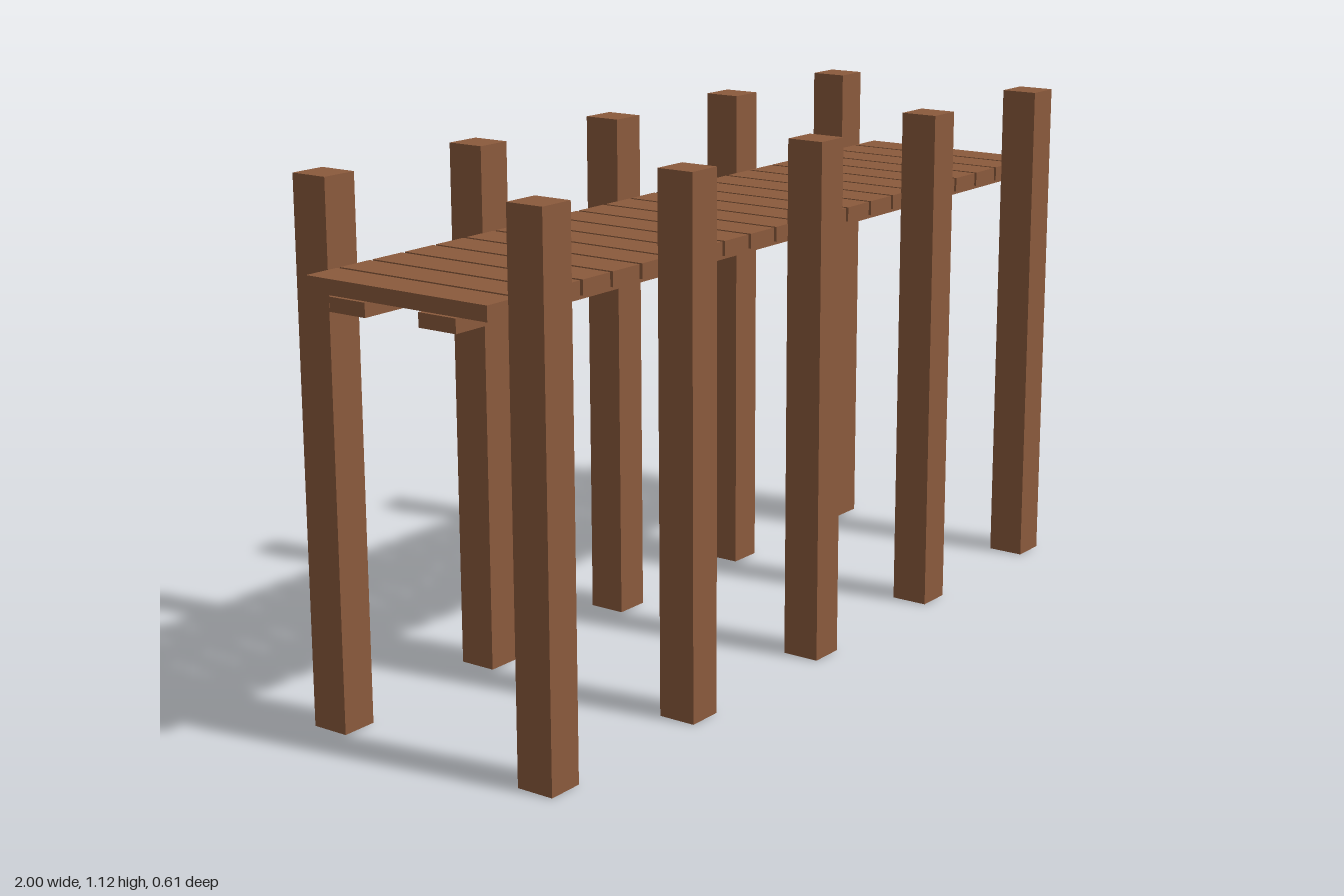
import * as THREE from 'three';

export function createModel() {
  const model = new THREE.Group();
  model.name = 'woodenPier';

  const wood = new THREE.MeshStandardMaterial({ color: 0x8b5a3c });
  wood.name = 'brown wood';

  // Box given by its size, centre x and z, and the height of its underside
  function addBox(parent, name, [w, h, d], x, bottom, z) {
    const mesh = new THREE.Mesh(new THREE.BoxGeometry(w, h, d), wood);
    mesh.name = name;
    mesh.position.set(x, bottom + h / 2, z);
    parent.add(mesh);
  }

  function addGroup(name) {
    const group = new THREE.Group();
    group.name = name;
    model.add(group);
    return group;
  }

  const posts = addGroup('posts');
  const beams = addGroup('beams');
  const deck = addGroup('deck');

  for (const side of [-1, 1]) {
    // Five square posts along each side
    for (let i = -2; i <= 2; i++) {
      addBox(posts, 'post', [0.08, 1.12, 0.083], i * 0.4465, 0, side * 0.264);
    }
    // Long beam under the deck
    addBox(beams, 'beam', [2, 0.029, 0.09], 0, 0.882, side * 0.111);
  }

  // Cross planks with narrow gaps between them
  const plankCount = 22;
  const pitch = 2 / plankCount;
  const plankWidth = 0.082;
  for (let i = 0; i < plankCount; i++) {
    const x = 1 - plankWidth / 2 - i * pitch;
    addBox(deck, 'plank', [plankWidth, 0.031, 0.446], x, 0.911, 0);
  }

  return model;
}
